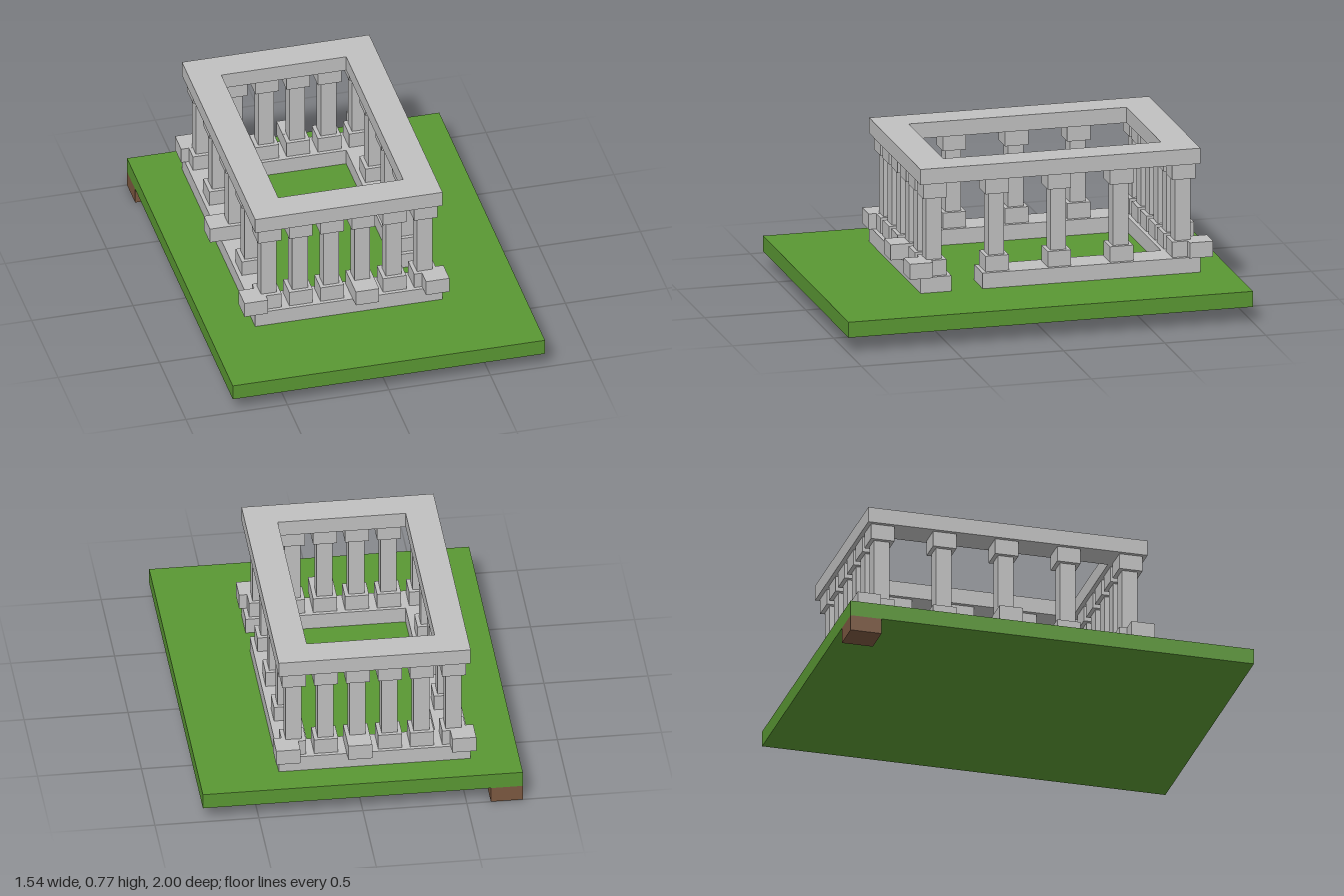
import * as THREE from 'three';

const U = 1 / 13; // one building unit

export function createModel() {
  const model = new THREE.Group();
  model.name = 'ruinedTemple';

  const grass = new THREE.MeshStandardMaterial({ color: 0x5a9733 });
  grass.name = 'grassGreen';
  const stone = new THREE.MeshStandardMaterial({ color: 0xc0c0c0 });
  stone.name = 'stoneGrey';
  const earth = new THREE.MeshStandardMaterial({ color: 0x7b5840 });
  earth.name = 'earthBrown';

  // Box given by its lower and upper corners, in building units
  function block(name, material, [x0, y0, z0], [x1, y1, z1], parent = model) {
    const geometry = new THREE.BoxGeometry((x1 - x0) * U, (y1 - y0) * U, (z1 - z0) * U);
    const mesh = new THREE.Mesh(geometry, material);
    mesh.name = name;
    mesh.position.set((x0 + x1) / 2 * U, (y0 + y1) / 2 * U, (z0 + z1) / 2 * U);
    parent.add(mesh);
    return mesh;
  }

  // Square block centred on a column position
  const square = (name, x, z, half, y0, y1, parent) =>
    block(name, stone, [x - half, y0, z - half], [x + half, y1, z + half], parent);

  // Ground and the earth block under its back corner
  block('ground', grass, [-10, 1, -13], [10, 2, 13]);
  block('earthBlock', earth, [-10, 0, -13], [-8, 1, -11]);

  // Foundation, with a gap in the right side near the front
  block('foundationFront', stone, [-7, 2, 5], [5, 3, 7]);
  block('foundationBack', stone, [-7, 2, -11], [5, 3, -9]);
  block('foundationLeft', stone, [-7, 2, -9], [-5, 3, 5]);
  block('foundationRight', stone, [3, 2, -9], [5, 3, 3]);

  // Beam frame on top: a rectangle with a rectangular opening
  const outline = new THREE.Shape([[-7, -7], [5, -7], [5, 11], [-7, 11]]
    .map(([x, y]) => new THREE.Vector2(x * U, y * U)));
  outline.holes.push(new THREE.Path([[-5, -5], [-5, 9], [3, 9], [3, -5]]
    .map(([x, y]) => new THREE.Vector2(x * U, y * U))));
  const frame = new THREE.Mesh(
    new THREE.ExtrudeGeometry(outline, { depth: U, bevelEnabled: false }), stone);
  frame.name = 'beamFrame';
  frame.rotation.x = -Math.PI / 2;
  frame.position.y = 9 * U;
  model.add(frame);

  // Columns: plinth, shaft and capital
  function column(x, z) {
    const group = new THREE.Group();
    group.name = 'column';
    square('plinth', x, z, 0.75, 3, 4, group);
    square('shaft', x, z, 0.5, 4, 8, group);
    square('capital', x, z, 0.75, 8, 9, group);
    model.add(group);
  }
  for (let x = -6; x <= 4; x += 2) {
    column(x, 6);
    column(x, -10);
  }
  for (let z = -6; z <= 2; z += 4) {
    column(-6, z);
    column(4, z);
  }

  // Stones jutting out past the foundation
  const jutting = [[-7, 6.5], [0, 7], [4.5, 7], [-7, -2], [-6.5, -11], [0, -11], [4.5, -11]];
  for (const [x, z] of jutting) square('juttingStone', x, z, 0.75, 3.01, 4.01);

  return model;
}
